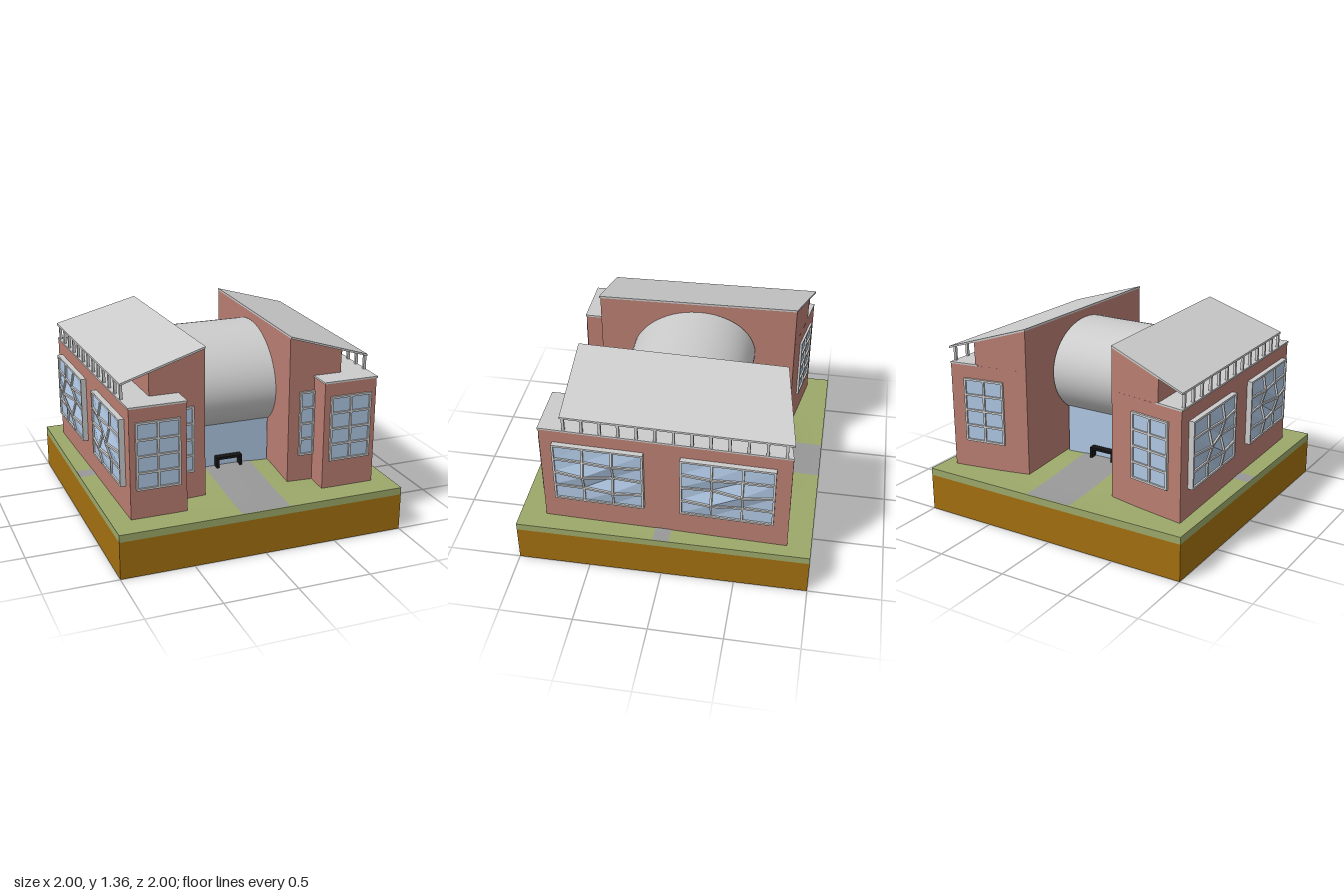
import * as THREE from 'three';

const mat = (color, extra = {}) => new THREE.MeshStandardMaterial({ color, ...extra });
const grey = mat(0xcccccc);
const smoothGrey = mat(0xcccccc, { side: THREE.DoubleSide });
const brick = mat(0xb97d71);
const glass = mat(0xaec6e2, { flatShading: true, side: THREE.DoubleSide });
const soil = mat(0xa26f10);
const grass = mat(0x9ca86a);
const paving = mat(0x989898);
const black = mat(0x151515);

function add(parent, name, geometry, material, x = 0, y = 0, z = 0) {
  const mesh = new THREE.Mesh(geometry, material);
  mesh.name = name;
  mesh.position.set(x, y, z);
  parent.add(mesh);
  return mesh;
}

// The lawn swells gently towards the middle
const groundY = (x, z) => 0.31 + 0.06 * Math.max(0, 1 - x * x - z * z) ** 2;

function groundSheet(w, d, cx, cz, lift) {
  const g = new THREE.PlaneGeometry(w, d, Math.ceil(w * 20), Math.ceil(d * 20));
  g.rotateX(-Math.PI / 2).translate(cx, 0, cz);
  const p = g.attributes.position;
  for (let i = 0; i < p.count; i++) p.setY(i, groundY(p.getX(i), p.getZ(i)) + lift);
  g.computeVertexNormals();
  return g;
}

// Upright prism over a plan of [x, z] corners, bottom and top given as height rules
function prism(plan, bottom, top) {
  const shape = new THREE.Shape(plan.map(([x, z]) => new THREE.Vector2(x, -z)));
  const g = new THREE.ExtrudeGeometry(shape, { depth: 1, bevelEnabled: false });
  g.rotateX(-Math.PI / 2);
  const p = g.attributes.position;
  for (let i = 0; i < p.count; i++) {
    const rule = p.getY(i) > 0.5 ? top : bottom;
    p.setY(i, rule(p.getX(i), p.getZ(i)));
  }
  g.computeVertexNormals();
  return g;
}

function bar(parent, a, b, width, depth) {
  const dir = b.clone().sub(a);
  const m = add(parent, 'glazingBar', new THREE.BoxGeometry(dir.length() + width * 0.8, width, depth), grey);
  m.position.copy(a).add(b).multiplyScalar(0.5);
  m.quaternion.setFromUnitVectors(new THREE.Vector3(1, 0, 0), dir.normalize());
}

// Glazed panel along a wall from a to b; out(col, row) pushes each grid node outwards
function glazing(parent, name, a, b, cols, out) {
  const rows = 4, low = 0.515, high = 0.96;
  const dx = b[0] - a[0], dz = b[1] - a[1], len = Math.hypot(dx, dz);
  const panel = new THREE.Group();
  panel.name = name;
  panel.position.set((a[0] + b[0]) / 2, (low + high) / 2, (a[1] + b[1]) / 2);
  panel.rotation.y = Math.atan2(-dz, dx);
  parent.add(panel);
  const g = new THREE.PlaneGeometry(len, high - low, cols, rows);
  const p = g.attributes.position;
  const node = (c, r) => new THREE.Vector3().fromBufferAttribute(p, r * (cols + 1) + c);
  for (let i = 0; i < p.count; i++) p.setZ(i, out(i % (cols + 1), Math.floor(i / (cols + 1))));
  add(panel, 'glass', g, glass, 0, 0, -0.004);
  for (let r = 0; r <= rows; r++) {
    for (let c = 0; c <= cols; c++) {
      if (c < cols) bar(panel, node(c, r), node(c + 1, r), 0.014, 0.016);
      if (r < rows) bar(panel, node(c, r), node(c, r + 1), 0.014, 0.016);
    }
  }
  return panel;
}

const innerX = z => 0.30 + 0.04 * (0.66 - z) / 1.4;
const outerX = z => 0.866 + 0.04 * (0.82 - z) / 1.66;
const roofY = (x, z) => 1.36 - 0.18 * (x - innerX(z)) / 0.57;

function createWing() {
  const wing = new THREE.Group();
  wing.name = 'wing';

  // Brick body, its flat cap and the taller part under the roof
  const plan = [[0.30, 0.66], [0.485, 0.66], [0.485, 0.82], [0.866, 0.82], [0.906, -0.84], [0.34, -0.74]];
  add(wing, 'lowerWalls', prism(plan, () => 0.3, () => 1.06), brick);
  const ledge = [[0.48, 0.655], [0.48, 0.825], [0.871, 0.825], [0.91, -0.842], [0.70, -0.805], [0.67, 0.655]];
  add(wing, 'ledgeCap', prism(ledge, () => 1.058, () => 1.07), grey);
  const upper = [[0.30, 0.66], [0.68, 0.66], [0.72, -0.806], [0.34, -0.74]];
  add(wing, 'upperWalls', prism(upper, () => 1.05, (x, z) => roofY(x, z) - 0.008), brick);

  // Sloping roof on a row of posts
  const roof = [[0.299, 0.67], [0.873, 0.67], [0.912, -0.845], [0.339, -0.742]];
  add(wing, 'roof', prism(roof, (x, z) => roofY(x, z) - 0.014, roofY), grey);
  for (let i = 0; i < 13; i++) {
    const z = 0.65 - i * 0.1205;
    add(wing, 'roofPost', new THREE.BoxGeometry(0.018, 0.12, 0.018), grey, outerX(z) - 0.008, 1.118, z);
  }

  // Flat windows
  const flat = () => 0.008;
  glazing(wing, 'frontWindow', [0.535, 0.82], [0.82, 0.82], 2, flat);
  glazing(wing, 'innerFrontWindow', [0.385, 0.66], [0.483, 0.66], 1, flat);
  const backZ = x => -0.74 - 0.1 * (x - 0.34) / 0.566;
  glazing(wing, 'backWindow', [0.80, backZ(0.80)], [0.52, backZ(0.52)], 2, flat);

  // Folded windows on the outer wall, with deep surrounds
  const fold = [[0.03, 0.03, 0.03, 0.03, 0.03], [0.03, 0.035, 0.062, 0.03, 0.03],
    [0.03, 0.05, 0.02, 0.052, 0.03], [0.03, 0.03, 0.03, 0.03, 0.03]];
  for (const [z0, z1, flip] of [[0.725, 0.13, false], [-0.125, -0.735, true]]) {
    const panel = glazing(wing, 'foldedWindow', [outerX(z0), z0], [outerX(z1), z1], 3,
      (c, r) => fold[flip ? 3 - c : c][r]);
    const w = z0 - z1;
    for (const s of [-1, 1]) {
      add(panel, 'surround', new THREE.BoxGeometry(w + 0.012, 0.012, 0.036), grey, 0, s * 0.2225, 0.014);
      add(panel, 'surround', new THREE.BoxGeometry(0.012, 0.45, 0.036), grey, s * w / 2, 0, 0.014);
    }
  }
  return wing;
}

export function createModel() {
  const model = new THREE.Group();
  model.name = 'building';

  // Ground block, lawn and paths
  add(model, 'soil', new THREE.BoxGeometry(2, 0.258, 2), soil, 0, 0.129, 0);
  add(model, 'turfEdge', new THREE.BoxGeometry(2, 0.05, 2), grass, 0, 0.283, 0);
  add(model, 'lawn', groundSheet(2, 2, 0, 0, 0), grass);
  add(model, 'mainPath', groundSheet(0.34, 2, 0, 0, 0.003), paving);
  for (const s of [-1, 1]) {
    add(model, 'sidePath', groundSheet(0.2, 0.11, s * 0.9, 0, 0.003), paving);
  }

  // Two mirrored wings
  const left = createWing();
  left.name = 'leftWing';
  const right = createWing();
  right.name = 'rightWing';
  right.scale.x = -1;
  model.add(left, right);

  // Tilted oval barrel bridging the wings
  const oval = new THREE.CylinderGeometry(1, 1, 0.63, 64);
  oval.rotateZ(Math.PI / 2).scale(1, 0.345, 0.45).rotateX(0.2);
  add(model, 'barrel', oval, smoothGrey, 0, 0.94, -0.015);

  // Glazed lobby below with a porch frame at each end
  add(model, 'lobbyGlass', new THREE.BoxGeometry(0.61, 0.42, 0.6), glass, 0, 0.51, 0);
  for (const s of [-1, 1]) {
    add(model, 'porchTop', new THREE.BoxGeometry(0.19, 0.018, 0.06), black, 0, 0.428, s * 0.32);
    for (const x of [-0.086, 0.086]) {
      add(model, 'porchSide', new THREE.BoxGeometry(0.018, 0.09, 0.06), black, x, 0.39, s * 0.32);
    }
  }
  return model;
}
